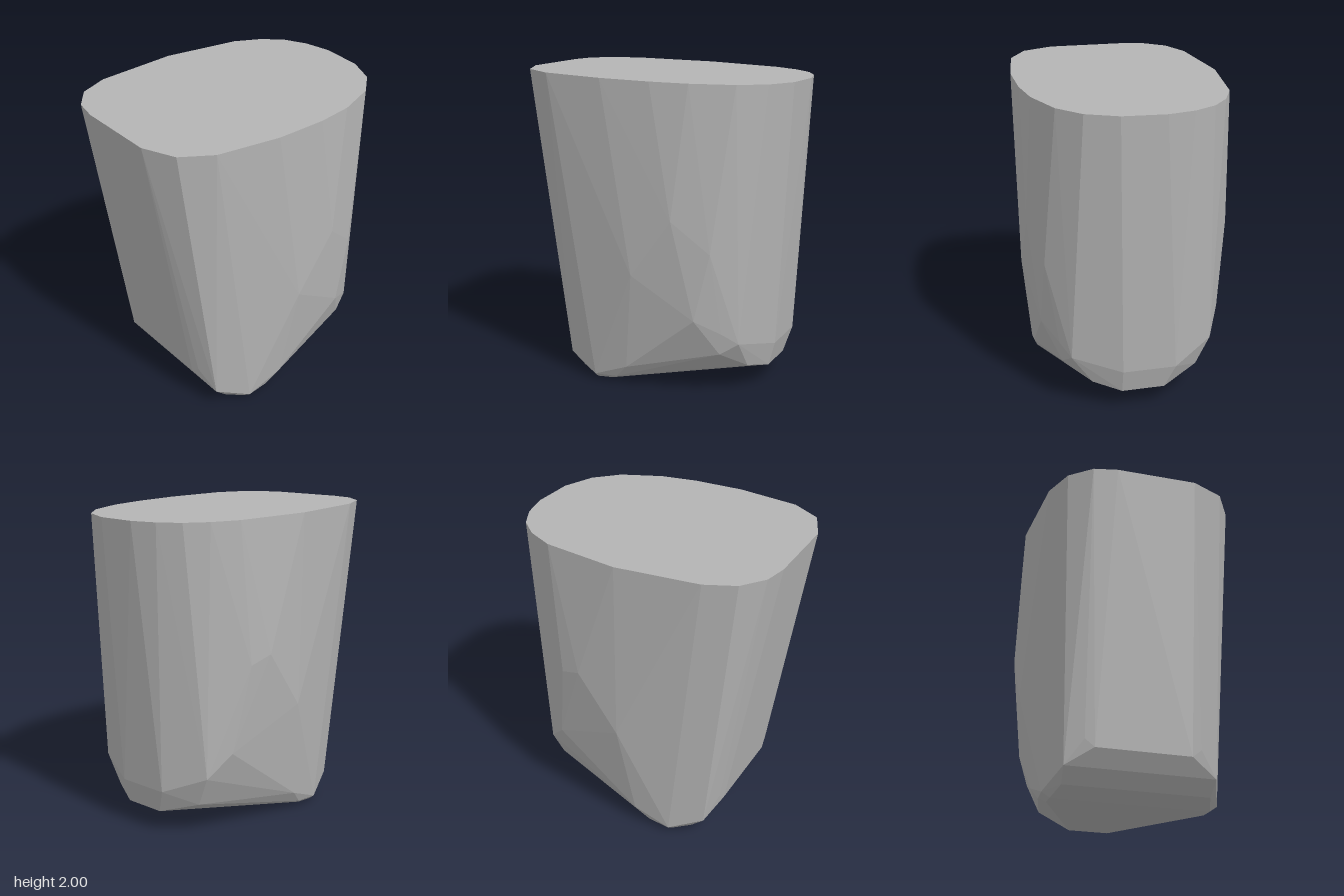
import * as THREE from 'three';
import { ConvexGeometry } from 'three/addons/geometries/ConvexGeometry.js';

// Rim outline (x, z); the flat top leans slightly down towards +x
const rim = [
  [-0.89, -0.24], [-0.86, -0.39], [-0.75, -0.53], [-0.56, -0.61], [-0.02, -0.657],
  [0.48, -0.585], [0.65, -0.505], [0.77, -0.4], [0.845, -0.26], [0.883, -0.09],
  [0.867, 0.18], [0.78, 0.375], [0.63, 0.51], [0.37, 0.61], [0.13, 0.645],
  [-0.2, 0.65], [-0.61, 0.59], [-0.8, 0.475], [-0.89, 0.27],
];

// Corners shared by the front and back sides (x, y, |z|)
const mirrored = [
  [0, 0.78, 0.65], [0.27, 1.15, 0.647],
  [-0.6, 0.29, 0.36], [-0.605, 0.24, 0.3], [-0.54, 0.135, 0.47], [-0.45, 0.05, 0.46],
  [-0.33, 0.003, 0.5], [-0.22, 0.012, 0.5],
  [-0.32, 0.04, 0.55], [-0.17, 0.045, 0.54], [-0.08, 0.135, 0.57],
  [0.73, 0.135, 0.137],
];

// Corners found on one side only (x, y, z)
const single = [
  [0.5, 0.95, 0.575], [0.4, 0.52, 0.59], [0.55, 0.43, 0.5], [0.64, 0.36, 0.44],
  [0.53, 0.29, 0.48], [0.65, 0.18, 0.31], [0.77, 0.29, 0.14], [0.77, 0.29, -0.2],
  [0.41, 1.1, -0.615], [0.5, 0.55, -0.545], [0.64, 0.4, -0.46], [0.62, 0.21, -0.375],
];

export function createModel() {
  const stone = new THREE.MeshStandardMaterial({ color: 0xb4b4b4 });
  stone.name = 'stone grey';

  const points = rim.map(([x, z]) => new THREE.Vector3(x, 1.982 - 0.0203 * x, z));
  for (const [x, y, z] of mirrored) {
    points.push(new THREE.Vector3(x, y, z), new THREE.Vector3(x, y, -z));
  }
  for (const p of single) points.push(new THREE.Vector3(...p));

  // Faceted block with a flat top and a chipped, sloping underside
  const block = new THREE.Mesh(new ConvexGeometry(points), stone);
  block.name = 'rockBlock';

  const model = new THREE.Group();
  model.name = 'rock';
  model.add(block);
  return model;
}
